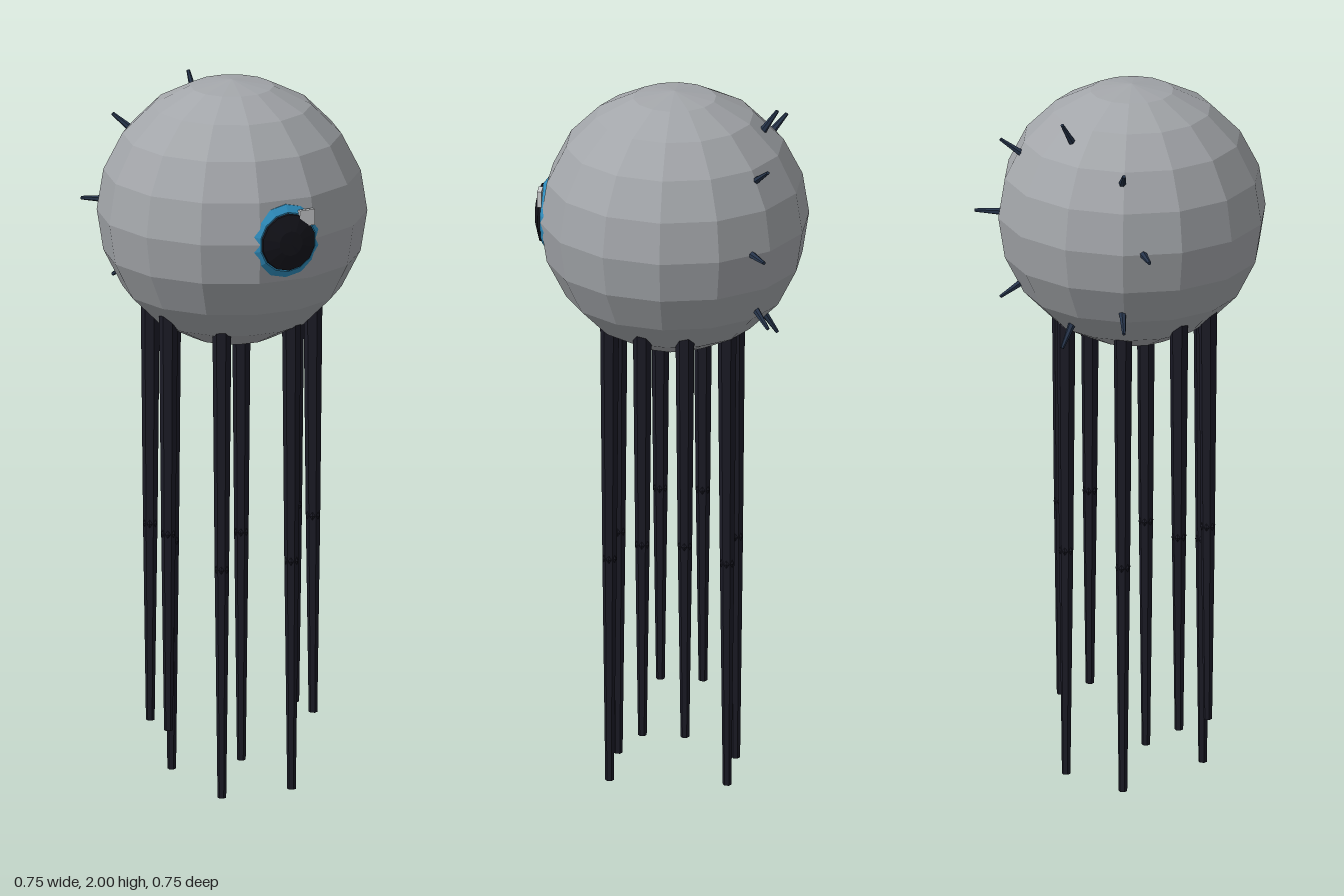
import * as THREE from 'three';

const mat = (name, color) => {
  const m = new THREE.MeshStandardMaterial({ color, flatShading: true });
  m.name = name;
  return m;
};

export function createModel() {
  const grey = mat('shell grey', 0xa3a6aa);
  const dark = mat('leg black', 0x1b1b26);
  const navy = mat('spike navy', 0x26344a);
  const blue = mat('iris blue', 0x2f8fc0);
  const black = mat('pupil black', 0x15151c);
  const white = mat('glint white', 0xd2d4d6);

  const model = new THREE.Group();
  model.name = 'eyeWalker';
  const add = (name, geometry, material, x, y, z, parent = model) => {
    const mesh = new THREE.Mesh(geometry, material);
    mesh.name = name;
    mesh.position.set(x, y, z);
    parent.add(mesh);
    return mesh;
  };

  // Faceted round body
  const cy = 1.628, cz = -0.01;
  add('body', new THREE.SphereGeometry(0.373, 14, 10), grey, 0, cy, cz);

  // Eye: shallow tapered discs stacked on the front of the body
  const eye = new THREE.Group();
  eye.name = 'eye';
  eye.position.set(0, cy, 0);
  model.add(eye);
  const disc = (name, material, points) => {
    const profile = points.map(([r, h]) => new THREE.Vector2(r, h));
    add(name, new THREE.LatheGeometry(profile, 14), material, 0, 0, 0, eye).rotation.x = Math.PI / 2;
  };
  disc('iris', blue, [[0.106, 0.325], [0.104, 0.340], [0.085, 0.354], [0, 0.356]]);
  disc('pupil', black, [[0.083, 0.345], [0.08, 0.361], [0.035, 0.374], [0, 0.3745]]);
  add('glint', new THREE.BoxGeometry(0.045, 0.045, 0.012), white, 0.055, 0.065, 0.357, eye);

  // Eight thin tapering legs with a slight knee at mid-length
  const top = 1.45;
  for (const [lx, lz, foot] of [[0.22, 0.059, 0.18], [0.106, 0.163, 0]]) {
    const kneeY = (1.31 + foot) / 2;
    for (const sx of [1, -1]) {
      for (const sz of [1, -1]) {
        const leg = new THREE.Group();
        leg.name = 'leg';
        leg.position.set(sx * lx - 0.004, 0, sz * lz - 0.004);
        model.add(leg);
        add('upperLeg', new THREE.CylinderGeometry(0.027, 0.02, top - kneeY, 6), dark, 0, (top + kneeY) / 2, 0, leg);
        add('knee', new THREE.SphereGeometry(0.022, 6, 4), dark, 0, kneeY, 0, leg);
        add('lowerLeg', new THREE.CylinderGeometry(0.02, 0.012, kneeY - foot, 6), dark, 0, (kneeY + foot) / 2, 0, leg);
      }
    }
  }

  // Ring of eight blunt spikes leaning backwards behind the body
  const up = new THREE.Vector3(0, 1, 0);
  for (let i = 0; i < 8; i++) {
    const a = (i * Math.PI) / 4;
    const dir = new THREE.Vector3(Math.cos(a) * 0.83, Math.sin(a) * 0.83, -0.56).normalize();
    const spike = add('spike', new THREE.CylinderGeometry(0.005, 0.012, 0.09, 6), navy,
      Math.cos(a) * 0.289, cy + Math.sin(a) * 0.289, -0.27);
    spike.quaternion.setFromUnitVectors(up, dir);
  }

  return model;
}
